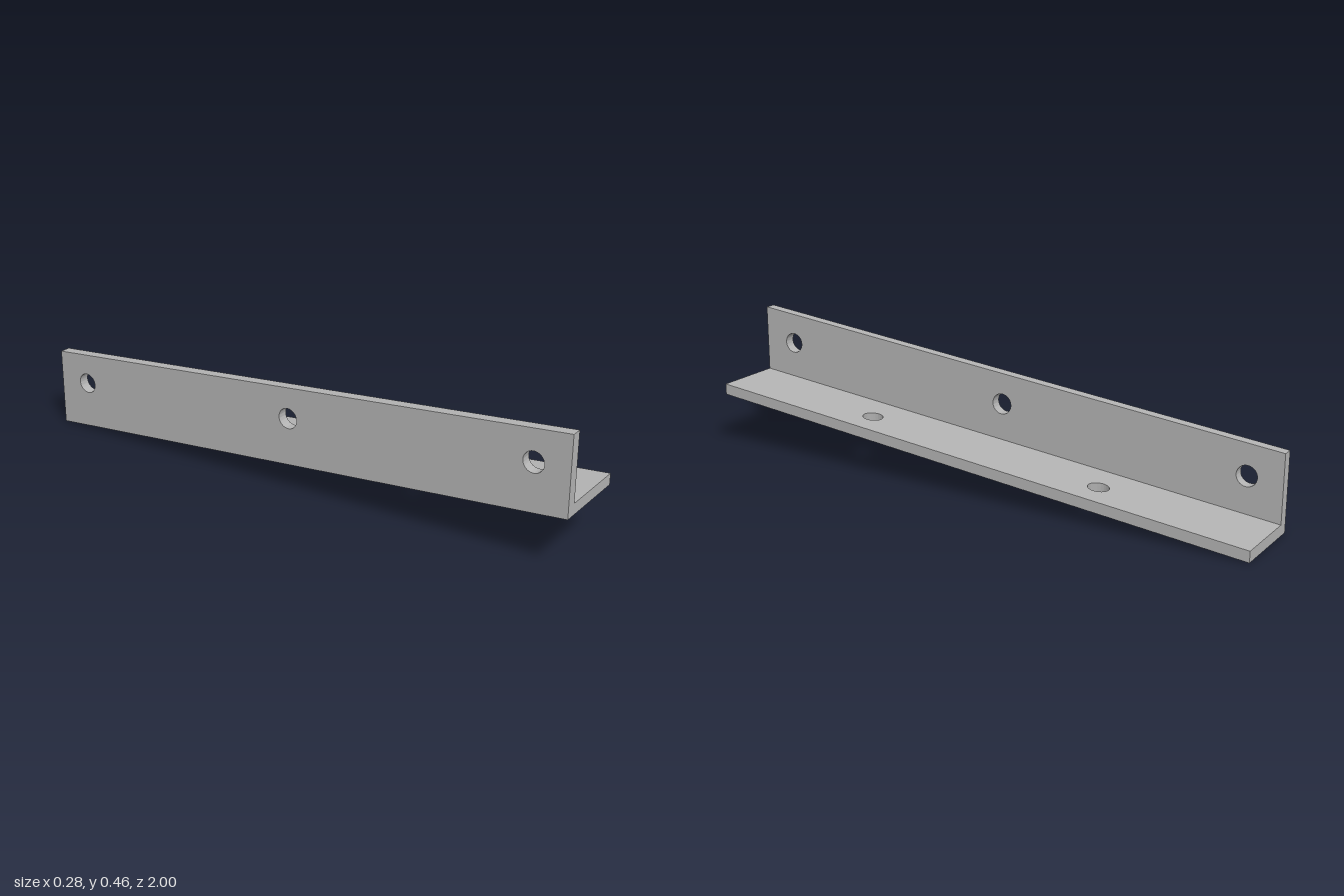
import * as THREE from 'three';
import { toCreasedNormals } from 'three/addons/utils/BufferGeometryUtils.js';

const HALF_WIDTH = 0.14, THICK = 0.038, HEIGHT = 0.27, HOLE_RADIUS = 0.035;
const SLOPE = 0.0935, TILT = 0.0107;

// Height of the underside of the sloping angle bar
const baseY = (x, z) => SLOPE * (z + 1) + TILT * (x + HALF_WIDTH);

// Plate outline with round holes, extruded to a thickness
function drilledPlate(corners, holes, depth) {
  const shape = new THREE.Shape(corners.map(([a, b]) => new THREE.Vector2(a, b)));
  for (const [a, b] of holes) {
    const hole = new THREE.Path();
    hole.absarc(a, b, HOLE_RADIUS, 0, Math.PI * 2, true);
    shape.holes.push(hole);
  }
  return new THREE.ExtrudeGeometry(shape, { depth, bevelEnabled: false, curveSegments: 40 });
}

// Move every vertex by a rule, then recompute normals with sharp plate edges
function reshape(geometry, rule) {
  const pos = geometry.attributes.position;
  const v = new THREE.Vector3();
  for (let i = 0; i < pos.count; i++) {
    rule(v.fromBufferAttribute(pos, i));
    pos.setXYZ(i, v.x, v.y, v.z);
  }
  return toCreasedNormals(geometry, Math.PI / 4);
}

export function createModel() {
  const group = new THREE.Group();
  group.name = 'angleBracket';
  const steel = new THREE.MeshStandardMaterial({ color: 0xb3b3b3 });
  steel.name = 'greySteel';

  const add = (name, geometry) => {
    const mesh = new THREE.Mesh(geometry, steel);
    mesh.name = name;
    group.add(mesh);
  };

  // Horizontal flange: holes drilled square to the sloping plate, ends cut plumb
  const flat = drilledPlate(
    [[-HALF_WIDTH, -1], [HALF_WIDTH, -1], [HALF_WIDTH, 1], [-HALF_WIDTH, 1]],
    [[0.031, -0.438], [0.031, 0.438]], THICK);
  flat.rotateX(-Math.PI / 2);
  add('horizontalFlange', reshape(flat, (v) => {
    if (Math.abs(v.z) < 0.9) v.z -= SLOPE * (v.y - THICK / 2);
    v.y += baseY(v.x, v.z);
  }));

  // Upright flange: a sloping parallelogram standing on the flat one
  const edge = (z, h) => [-z, baseY(-HALF_WIDTH, z) + h];
  const upright = drilledPlate(
    [edge(1, THICK), edge(-1, THICK), edge(-1, HEIGHT), edge(1, HEIGHT)],
    [0.88, 0, -0.88].map((z) => edge(z, 0.163)), THICK - 0.001);
  upright.rotateY(Math.PI / 2);
  add('uprightFlange', reshape(upright, (v) => {
    v.y += TILT * v.x;
    v.x -= HALF_WIDTH;
  }));

  return group;
}
